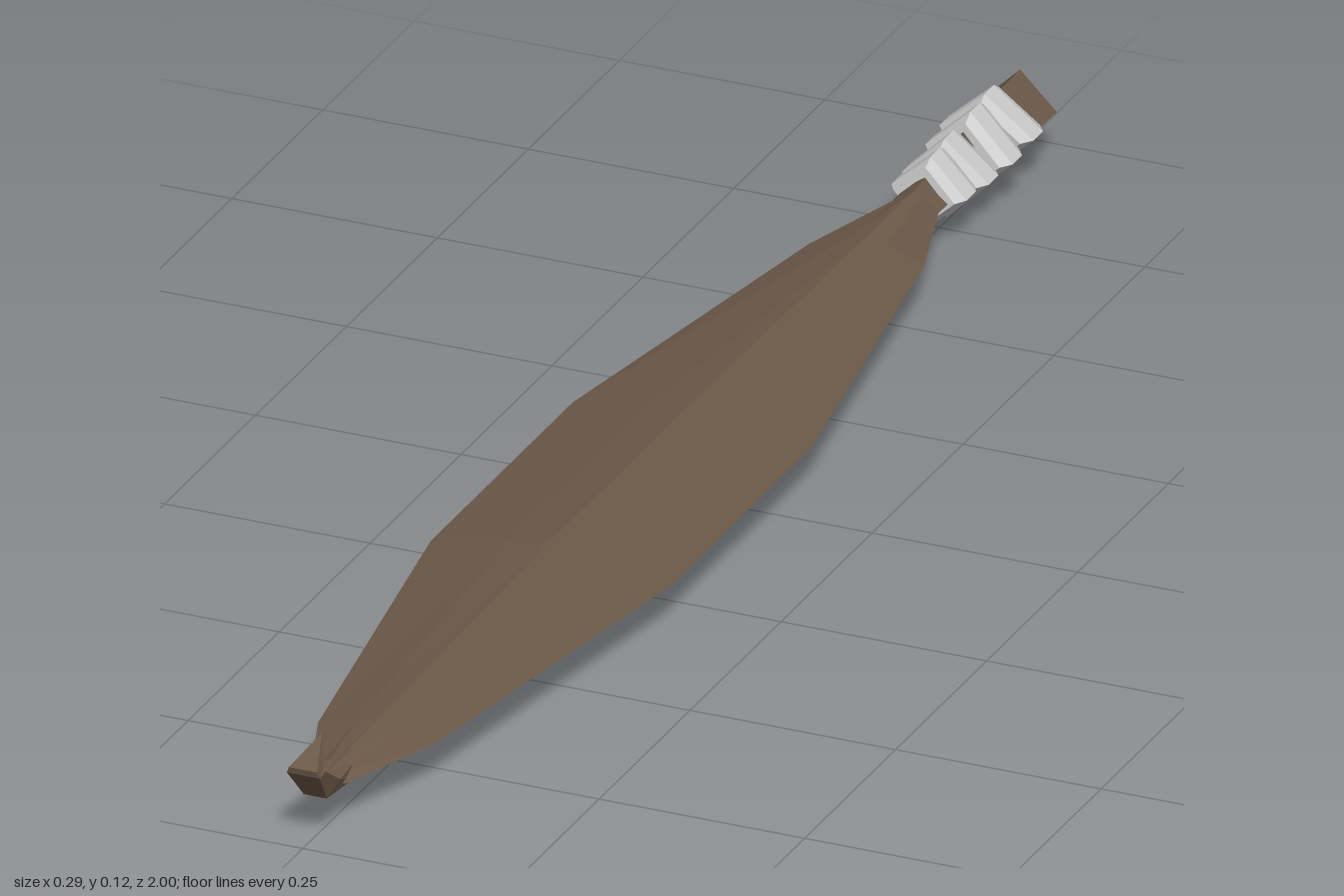
import * as THREE from 'three';

const MID = 0.057; // height of the long axis
const wood = new THREE.MeshStandardMaterial({ color: 0x6b5848, flatShading: true });
const cord = new THREE.MeshStandardMaterial({ color: 0xcccccc, flatShading: true });

// Skin a list of equal-sized rings (anticlockwise seen from +z, ordered towards +z)
function loft(name, rings, material) {
  const pos = [];
  const tri = (a, b, c) => pos.push(...a, ...b, ...c);
  const n = rings[0].length;
  for (let s = 0; s < rings.length - 1; s++) {
    const a = rings[s], b = rings[s + 1];
    for (let i = 0; i < n; i++) {
      const j = (i + 1) % n;
      tri(a[i], a[j], b[j]);
      tri(a[i], b[j], b[i]);
    }
  }
  const first = rings[0], last = rings[rings.length - 1];
  for (let i = 1; i < n - 1; i++) {
    tri(first[0], first[i + 1], first[i]);
    tri(last[0], last[i], last[i + 1]);
  }
  const geometry = new THREE.BufferGeometry();
  geometry.setAttribute('position', new THREE.Float32BufferAttribute(pos, 3));
  geometry.computeVertexNormals();
  const mesh = new THREE.Mesh(geometry, material);
  mesh.name = name;
  return mesh;
}

// Four-cornered ring standing on its point; the slants tip it along z
const diamond = (z, rx, ry, cx = 0, cy = MID, slantX = 0, slantY = 0) => [
  [cx + rx, cy, z + slantX], [cx, cy + ry, z + slantY],
  [cx - rx, cy, z - slantX], [cx, cy - ry, z - slantY],
];

// Thin eight-sided blade section with sharp side edges
const bladeRing = ([z, w, h]) => [
  [1, 0], [0.34, 0.8], [0, 1.1], [-0.34, 0.8],
  [-1, 0], [-0.34, -0.8], [0, -0.95], [0.34, -0.8],
].map(([x, y]) => [x * w, MID + y * h, z]);

// Rectangular hook section from its outer and inner (y, z) points
const hookRing = ([yo, zo, wo, yi, zi, wi]) => [
  [wo, yo, zo], [wi, yi, zi], [-wi, yi, zi], [-wo, yo, zo],
];

export function createModel() {
  const model = new THREE.Group();
  model.name = 'spearThrower';

  // Broad flat blade
  model.add(loft('blade', [
    [-0.68, 0.03, 0.02], [-0.55, 0.07, 0.02], [-0.07, 0.145, 0.025],
    [0.32, 0.145, 0.025], [0.8, 0.07, 0.014], [0.93, 0.022, 0.009],
  ].map(bladeRing), wood));

  // Handle shaft with pointed butt
  model.add(loft('handle', [
    diamond(-1, 0.0005, 0.0005), diamond(-0.972, 0.045, 0.044),
    diamond(-0.9, 0.043, 0.043), diamond(-0.74, 0.03, 0.028),
    diamond(-0.66, 0.03, 0.02),
  ], wood));

  // Cord turns round the handle: z, half width, half height, centre x, y, slants
  const wraps = new THREE.Group();
  wraps.name = 'gripWraps';
  [
    [-0.735, 0.047, 0.042, 0.0, 0.059, 0.003, -0.004],
    [-0.787, 0.051, 0.05, -0.003, 0.053, -0.004, 0.004],
    [-0.84, 0.055, 0.051, 0.002, 0.06, 0.004, -0.004],
    [-0.895, 0.056, 0.05, -0.001, 0.062, -0.003, 0.005],
  ].forEach(([z, w, h, cx, cy, sx, sy]) => {
    const rings = [[-0.027, 0.82], [-0.013, 1], [0.013, 1], [0.027, 0.82]]
      .map(([dz, k]) => diamond(z + dz, w * k, h * k, cx, cy, sx, sy));
    wraps.add(loft('wrap', rings, cord));
  });
  model.add(wraps);

  // Upturned hook with a spur pointing back along the blade
  model.add(loft('hook', [
    [0.049, 0.9, 0.018, 0.066, 0.9, 0.016],
    [0.052, 0.965, 0.014, 0.067, 0.942, 0.02],
    [0.092, 0.998, 0.02, 0.094, 0.982, 0.02],
    [0.1, 1, 0.017, 0.097, 0.982, 0.017],
    [0.122, 0.947, 0.0005, 0.1215, 0.947, 0.0005],
  ].map(hookRing), wood));

  return model;
}
